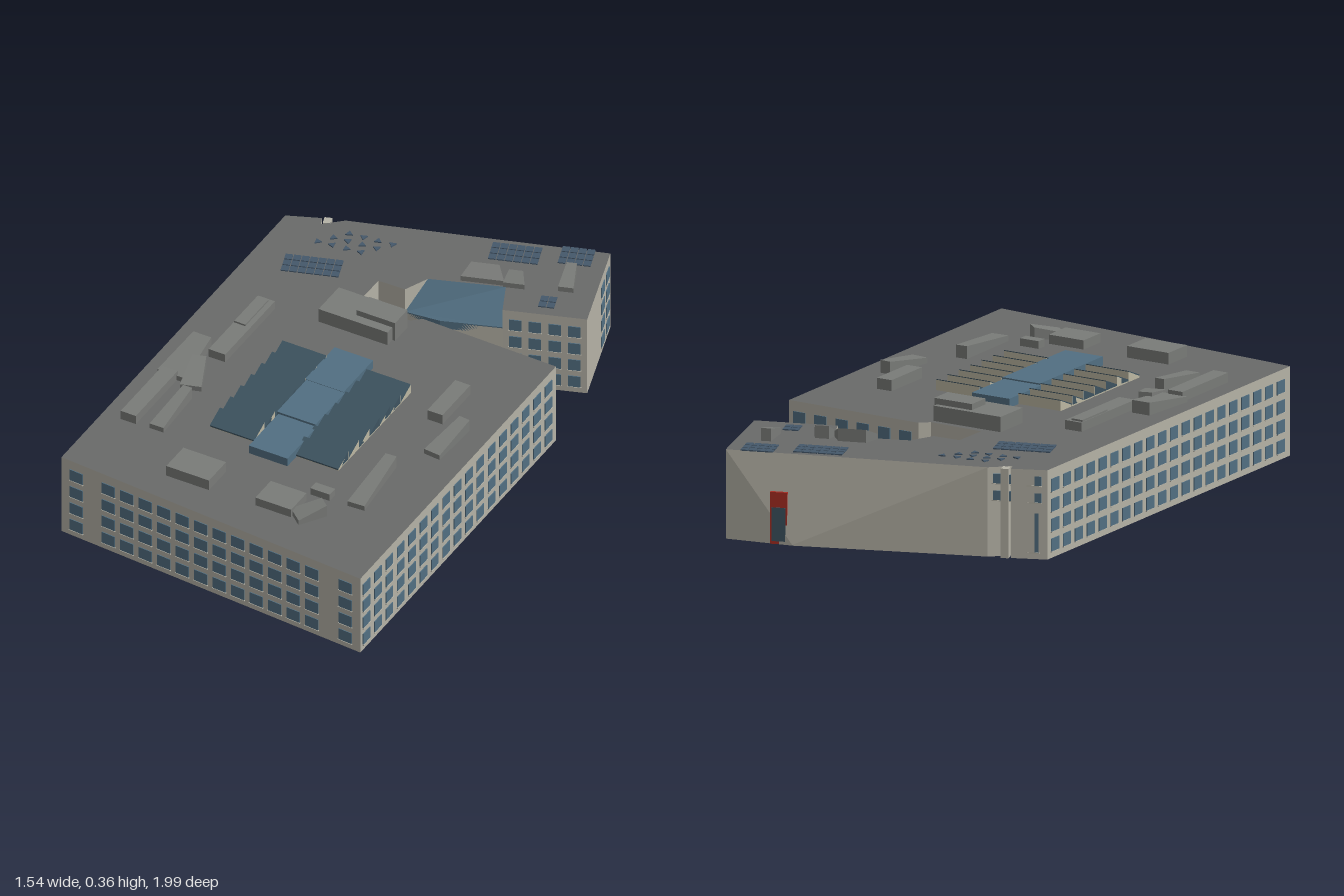
import * as THREE from 'three';
import { mergeGeometries } from 'three/addons/utils/BufferGeometryUtils.js';

const mat = (color) => new THREE.MeshStandardMaterial({ color, flatShading: true, side: THREE.DoubleSide });
const H = 0.293; // roof height
const AXIS = 0.3, WING = 0.62; // headings of the main block and the rear wing

export function createModel() {
  const model = new THREE.Group();
  const wall = mat(0xb5b2a6), roof = mat(0x696a69), glass = mat(0x526f82), darkGlass = mat(0x3d5360);
  const cream = mat(0xbcb7a2), plant = mat(0x797b78), red = mat(0xa82c22), solar = mat(0x45586a);

  const add = (name, geometry, material, parent = model) => {
    const mesh = new THREE.Mesh(geometry, material);
    mesh.name = name;
    parent.add(mesh);
    return mesh;
  };
  const box = (w, h, d, x, y, z) => new THREE.BoxGeometry(w, h, d).translate(x, y, z);

  // Block with a level base and a top whose corners may differ in height
  const block = (points, tops, base) => {
    const n = points.length, pos = [];
    const low = (i) => [points[i % n][0], base, points[i % n][1]];
    const high = (i) => [points[i % n][0], tops[i % n], points[i % n][1]];
    for (let i = 0; i < n; i++) {
      pos.push(...low(i), ...low(i + 1), ...high(i + 1), ...low(i), ...high(i + 1), ...high(i));
      if (i > 0 && i < n - 1) pos.push(...high(0), ...high(i), ...high(i + 1));
    }
    const g = new THREE.BufferGeometry();
    g.setAttribute('position', new THREE.Float32BufferAttribute(pos, 3));
    g.computeVertexNormals();
    return g;
  };

  // Building body: main block and rear wing joined around a notch
  const A = [-0.77, -0.39], B = [-0.34, 0.99], C = [0.77, 0.74], D = [0.39, -0.47];
  const E = [-0.08, -0.335], F = [-0.1, -0.3], G = [-0.285, -0.25], K = [-0.32, -0.37];
  const S = [0.06, -0.55], T = [0.28, -0.71], N = [0.08, -1.0], P = [-0.62, -0.51];
  const outline = [A, B, C, D, E, F, G, K, [-0.23, -0.4], [-0.22, -0.49], [-0.02, -0.64], S, T, N,
    P, [-0.66, -0.44], [-0.68, -0.465]];
  const shape = new THREE.Shape(outline.map(([x, z]) => new THREE.Vector2(x, -z)));
  const body = new THREE.ExtrudeGeometry(shape, { depth: H, bevelEnabled: false }).rotateX(-Math.PI / 2);
  add('buildingBody', body, [roof, wall]);

  // Leaning rear wall of the wing: its foot swells outward, its top meets the roof edge
  add('leaningRearWall', block([N, [-0.12, -0.895], P], [H, 0.002, H], 0), wall);

  // Facade frame: local x runs along the wall, local z points outward
  const facade = (name, p, q) => {
    const g = new THREE.Group(), dx = q[0] - p[0], dz = q[1] - p[1];
    g.name = name;
    g.position.set(p[0], 0, p[1]);
    g.rotation.y = Math.atan2(-dz, dx);
    g.userData.length = Math.hypot(dx, dz);
    model.add(g);
    return g;
  };
  const ROWS = [0.042, 0.107, 0.172, 0.238];
  const windows = (g, ts, w = 0.045, rows = ROWS, h = 0.043) => {
    const L = g.userData.length, panes = [], sills = [];
    for (const t of ts) for (const y of rows) {
      panes.push(box(w, h, 0.006, t * L, y, 0));
      sills.push(box(w + 0.004, 0.003, 0.01, t * L, y - h / 2, 0));
    }
    add('windows', mergeGeometries(panes), glass, g);
    add('windowSills', mergeGeometries(sills), wall, g);
  };
  const spread = (n, a, b) => Array.from({ length: n }, (_, i) => a + (b - a) * i / (n - 1));

  windows(facade('frontFacade', B, C), [0.05, ...spread(12, 0.158, 0.838), 0.95], 0.049);
  windows(facade('rightFacade', A, B), spread(20, 0.03, 0.96));
  windows(facade('leftFacade', C, D), spread(17, 0.03, 0.96));
  windows(facade('courtFacade', D, E), spread(6, 0.08, 0.9));
  windows(facade('wingCourtFacade', S, T), spread(4, 0.15, 0.85), 0.04);
  windows(facade('wingEndFacade', T, N), [0.67, 0.87]);

  // Rear facade of the wing: glazed end, pillar and red door
  const rear = facade('wingRearFacade', N, A), rearLength = rear.userData.length;
  windows(rear, spread(6, 0.66, 0.96), 0.045, [0.2, 0.255], 0.032);
  windows(rear, [0.7, 0.79, 0.94], 0.07, [0.085], 0.13);
  windows(rear, [0.07], 0.035, [0.045], 0.035);
  add('rearPillar', box(0.025, H, 0.03, 0.87 * rearLength, H / 2, 0), wall, rear);
  add('doorSurround', box(0.055, 0.17, 0.05, 0.17 * rearLength, 0.085, 0), red, rear);
  add('doorGlass', box(0.045, 0.11, 0.056, 0.17 * rearLength, 0.065, 0), darkGlass, rear);

  // Sloped glass bay in the notch
  const bay = [[-0.23, -0.4], [-0.1, -0.43], S, [-0.02, -0.64], [-0.22, -0.49]];
  add('entranceBay', block(bay, [0.2, 0.22, 0.22, 0.288, 0.288], 0), wall);
  add('bayGlassRoof', block(bay, [0.204, 0.224, 0.224, 0.293, 0.293], 0.195), glass);

  // Central skylight: raised glass spine between two sawtooth banks
  const sky = new THREE.Group();
  sky.name = 'skylight';
  sky.position.set(0.025, H, 0.25);
  sky.rotation.y = AXIS;
  model.add(sky);
  for (let i = 0; i < 3; i++)
    add('skylightSpine', box(0.14, 0.03 + 0.006 * (i % 2), 0.19, 0.008 * (i - 1), 0.015, (i - 1) * 0.195), glass, sky);
  for (const x of [-0.155, 0.15]) for (let i = 0; i < 7; i++) {
    const z = -0.235 + i * 0.067, x0 = x - 0.08, x1 = x + 0.08, z1 = z + 0.065;
    const foot = [[x0, z1], [x1, z1], [x1, z], [x0, z]];
    add('sawtoothBase', block(foot, [0.006, 0.006, 0.034, 0.034], 0), cream, sky);
    add('sawtoothGlass', block(foot.map(([a, b]) => [a, b + 0.002]), [0.009, 0.009, 0.036, 0.036], 0.004), darkGlass, sky);
  }

  // Box-shaped rooftop plant: x, z, width, depth, height
  const boxes = [
    [-0.195, -0.185, 0.25, 0.13, 0.05], [-0.135, -0.21, 0.14, 0.08, 0.07],
    [-0.42, 0.13, 0.06, 0.32, 0.03], [-0.45, 0.06, 0.04, 0.15, 0.036],
    [-0.37, 0.58, 0.055, 0.27, 0.032], [0.015, 0.74, 0.155, 0.11, 0.038],
    [0.31, 0.65, 0.13, 0.1, 0.03], [0.37, 0.525, 0.07, 0.035, 0.025],
    [0.31, -0.08, 0.055, 0.18, 0.036]];
  for (const [x, z, w, d, h] of boxes) {
    const unit = add('rooftopBox', box(w, h, d, 0, h / 2, 0), plant);
    unit.position.set(x, H, z);
    unit.rotation.y = AXIS;
  }

  // Sloping rooftop plant, lower in front and narrower behind: x, z, width, depth, heading
  const wedges = [
    [-0.43, 0.36, 0.1, 0.2, AXIS], [-0.35, 0.4, 0.07, 0.13, 0.6], [-0.265, 0.58, 0.05, 0.2, AXIS],
    [0.42, 0.63, 0.07, 0.1, -0.4], [0.445, 0.05, 0.06, 0.18, 0.2], [0.45, 0.38, 0.06, 0.25, 0.35],
    [-0.1, -0.62, 0.14, 0.05, WING], [-0.01, -0.67, 0.07, 0.04, WING], [0.1, -0.8, 0.05, 0.1, WING]];
  for (const [x, z, w, d, heading] of wedges) {
    const a = w / 2, b = d / 2;
    const unit = add('rooftopWedge', block([[-a, b], [a, b], [a * 0.65, -b], [-a * 0.65, -b]],
      [0.018, 0.018, 0.042, 0.042], 0), plant);
    unit.position.set(x, H, z);
    unit.rotation.y = heading;
  }

  // Solar panel arrays: x, z, columns, rows
  for (const [x, z, nx, nz] of [[-0.125, -0.78, 6, 3], [0.02, -0.91, 4, 3], [-0.52, -0.27, 7, 3], [0.13, -0.68, 2, 2]]) {
    const cells = [];
    for (let i = 0; i < nx; i++) for (let j = 0; j < nz; j++)
      cells.push(box(0.024, 0.004, 0.026, (i - (nx - 1) / 2) * 0.027, 0.002, (j - (nz - 1) / 2) * 0.03));
    const panels = add('solarPanels', mergeGeometries(cells), solar);
    panels.position.set(x, H, z);
    panels.rotation.y = WING;
  }

  // Scattered small triangular rooflights
  for (let i = 0; i < 12; i++) {
    const column = i % 4, row = Math.floor(i / 4);
    const light = add('rooflight', new THREE.CylinderGeometry(0.014, 0.014, 0.004, 3), solar);
    light.position.set(-0.6 + column * 0.045 + row * 0.02, H + 0.002, -0.37 - row * 0.05 - column * 0.02);
    light.rotation.y = i;
  }
  return model;
}
